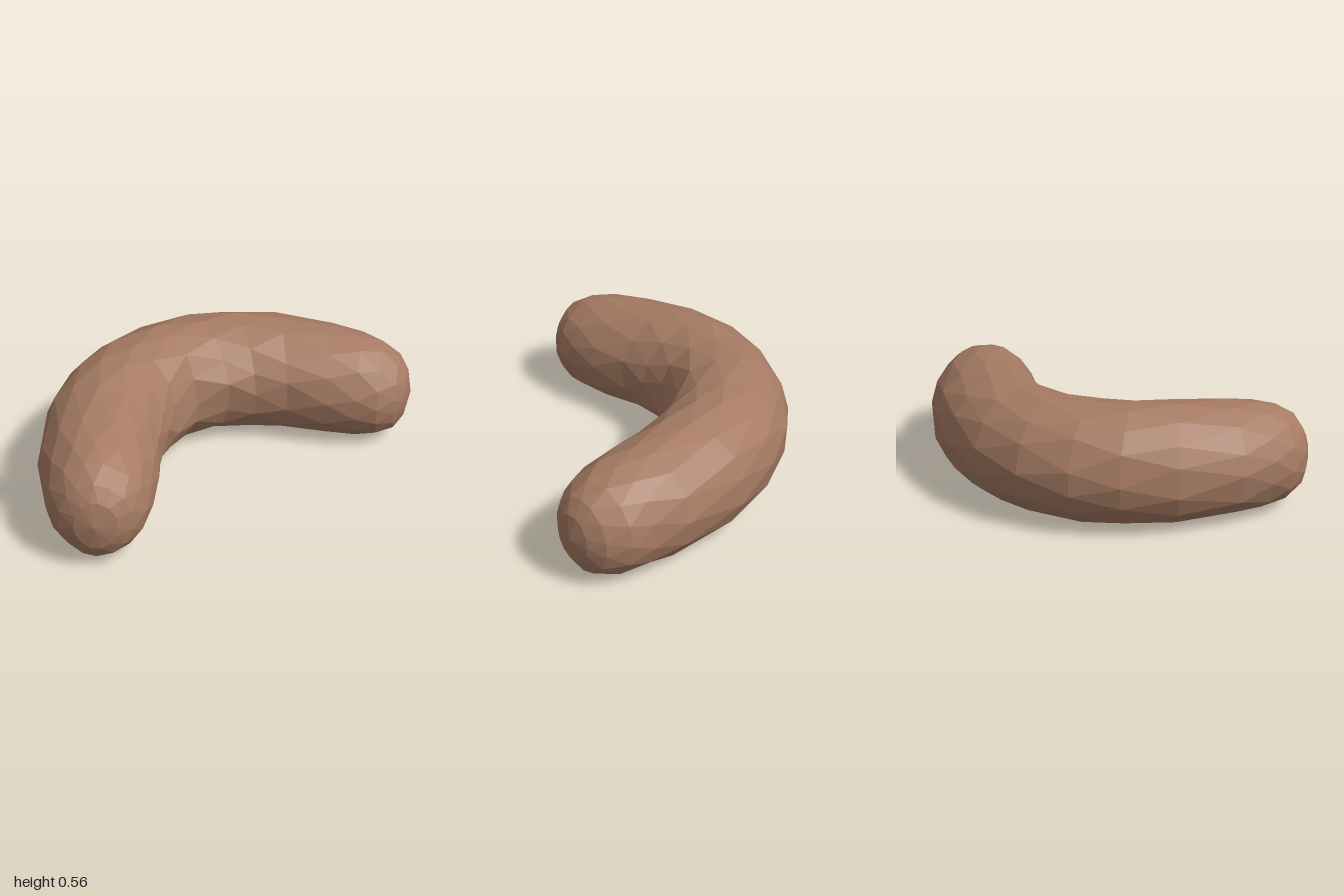
import * as THREE from 'three';

// Half of the curved body, middle to tip: outer x, outer z, inner x, inner z, bottom y, top y
const STATIONS = [
  [-0.55, 0.00, 0.02, 0.00, 0.00, 0.56],
  [-0.515, 0.25, 0.06, 0.15, 0.00, 0.56],
  [-0.425, 0.46, 0.12, 0.26, 0.00, 0.56],
  [-0.27, 0.67, 0.22, 0.37, 0.00, 0.55],
  [-0.02, 0.87, 0.36, 0.49, 0.00, 0.525],
  [0.13, 0.945, 0.46, 0.59, 0.005, 0.505],
  [0.23, 0.99, 0.52, 0.67, 0.02, 0.475],
  [0.34, 1.0, 0.545, 0.76, 0.06, 0.425],
  [0.42, 0.975, 0.54, 0.83, 0.13, 0.36],
];
const TIP = [0.495, 0.25, 0.92];
const SIDES = 14;

function seeded(seed) {
  return () => {
    seed = (seed * 16807) % 2147483647;
    return seed / 2147483647 - 0.5;
  };
}

function sausageGeometry() {
  const rand = seeded(421);
  const mirrored = STATIONS.slice(1).reverse().map(([ox, oz, ix, iz, lo, hi]) => [ox, -oz, ix, -iz, lo, hi]);
  const rings = [...mirrored, ...STATIONS];
  const positions = [];
  const index = [];

  // Oval rings, every second one turned by half a step for irregular facets
  rings.forEach(([ox, oz, ix, iz, lo, hi], i) => {
    const cx = (ox + ix) / 2, cz = (oz + iz) / 2, cy = (lo + hi) / 2;
    for (let j = 0; j < SIDES; j++) {
      const a = ((j + (i % 2) * 0.5 + rand() * 0.3) / SIDES) * Math.PI * 2;
      // The inside of the bend is slightly wrinkled
      const inside = Math.max(0, -Math.cos(a)) * Math.max(0, 1 - Math.abs(cz) / 0.6);
      const r = 1.01 + rand() * 0.015 + inside * (rand() * 0.12 - 0.02);
      const c = Math.cos(a) * r;
      const y = cy + Math.sin(a) * r * (hi - lo) / 2;
      positions.push(cx + c * (ox - cx), Math.min(0.56, Math.max(0, y)), cz + c * (oz - cz));
    }
  });

  // Facets between neighbouring rings
  const id = (i, j) => i * SIDES + (j % SIDES);
  for (let i = 0; i < rings.length - 1; i++) {
    for (let j = 0; j < SIDES; j++) {
      const a = id(i, j), b = id(i + 1, j), c = id(i, j + 1), d = id(i + 1, j + 1);
      if (i % 2 === 0) index.push(a, b, c, c, b, d);
      else index.push(a, d, c, a, b, d);
    }
  }

  // Rounded tips
  const last = rings.length - 1;
  const back = positions.length / 3;
  positions.push(TIP[0], TIP[1], -TIP[2], ...TIP);
  for (let j = 0; j < SIDES; j++) {
    index.push(back, id(0, j), id(0, j + 1));
    index.push(id(last, j), back + 1, id(last, j + 1));
  }

  const indexed = new THREE.BufferGeometry();
  indexed.setAttribute('position', new THREE.Float32BufferAttribute(positions, 3));
  indexed.setIndex(index);
  const geometry = indexed.toNonIndexed(); // separate facets for a low-poly look
  geometry.computeVertexNormals();
  return geometry;
}

export function createModel() {
  const group = new THREE.Group();
  group.name = 'sausage';
  const brown = new THREE.MeshStandardMaterial({ color: 0xa67b63 });
  brown.name = 'sausage brown';
  const body = new THREE.Mesh(sausageGeometry(), brown);
  body.name = 'sausageBody';
  group.add(body);
  return group;
}
